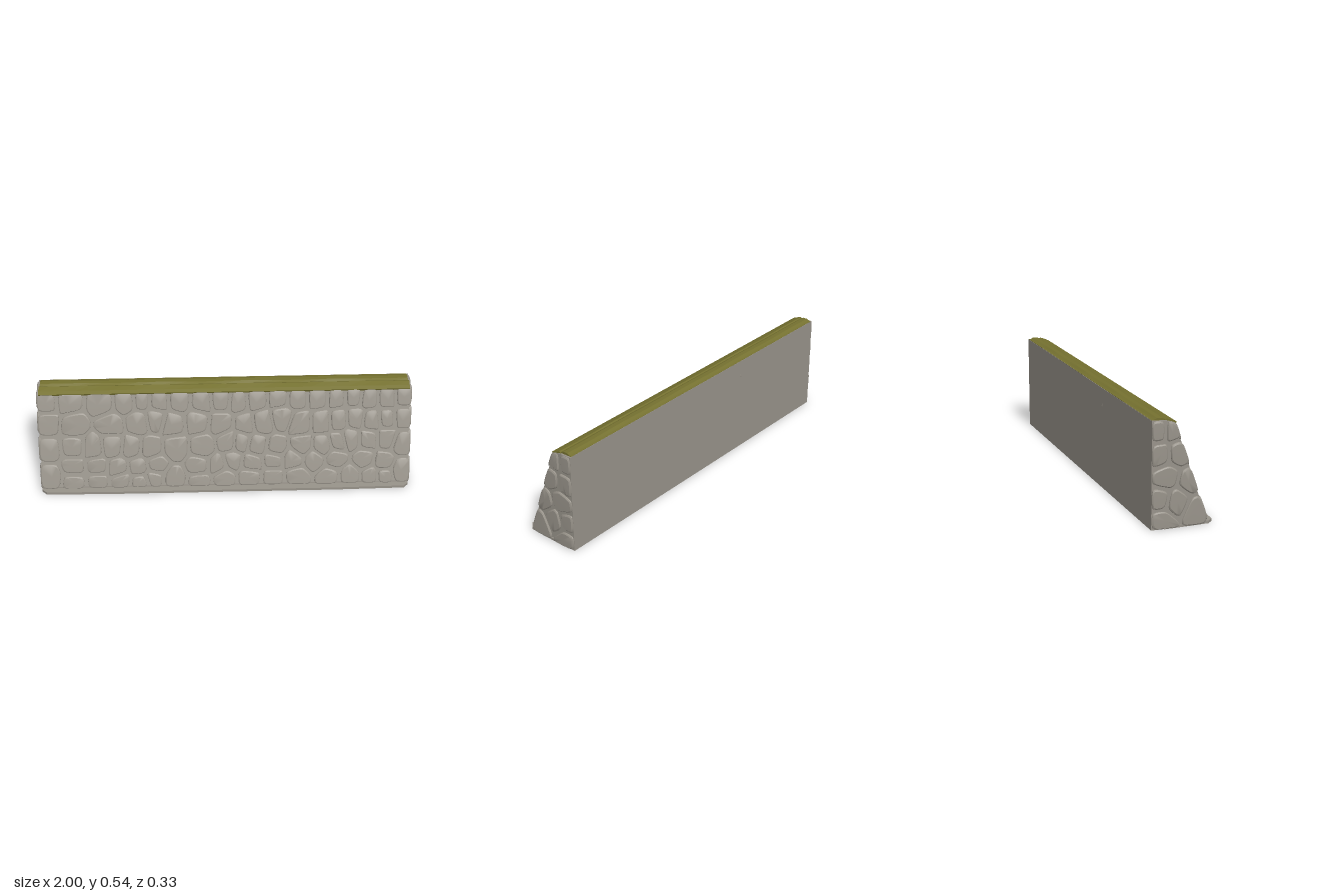
import * as THREE from 'three';
import { mergeGeometries, toCreasedNormals } from 'three/addons/utils/BufferGeometryUtils.js';

const stoneMat = new THREE.MeshStandardMaterial({ name: 'greyStone', color: 0x98938a });
const mossMat = new THREE.MeshStandardMaterial({ name: 'oliveMoss', color: 0x757130 });

let seed = 7;
const rand = () => (seed = (seed * 16807) % 2147483647) / 2147483647;
const jitter = (a) => (rand() - 0.5) * 2 * a;

// depth of the leaning front face at height y
const frontZ = (y) => 0.13 - 0.343 * (y - 0.02);

// keep the part of a polygon where n·p <= d
function clip(poly, nx, ny, d) {
  const out = [];
  poly.forEach((a, i) => {
    const b = poly[(i + 1) % poly.length];
    const da = a[0] * nx + a[1] * ny - d, db = b[0] * nx + b[1] * ny - d;
    if (da <= 0) out.push(a);
    if (da * db < 0) {
      const t = da / (da - db);
      out.push([a[0] + (b[0] - a[0]) * t, a[1] + (b[1] - a[1]) * t]);
    }
  });
  return out;
}

// the outline of the stone around one centre, with half a joint cut off each side
function cell(points, i, border, gap) {
  let poly = border;
  const p = points[i];
  points.forEach((q, j) => {
    if (j === i) return;
    const dx = q[0] - p[0], dy = q[1] - p[1], len = Math.hypot(dx, dy);
    const nx = dx / len, ny = dy / len;
    poly = clip(poly, nx, ny, nx * (p[0] + q[0]) / 2 + ny * (p[1] + q[1]) / 2 - gap);
  });
  return poly;
}

// cut the corners of an outline
const soften = (poly, k) => poly.flatMap((a, i) => {
  const b = poly[(i + 1) % poly.length];
  return [k, 1 - k].map((t) => [a[0] + (b[0] - a[0]) * t, a[1] + (b[1] - a[1]) * t]);
});

// one stone: stacked shrinking outlines closed by a slightly domed face
function stoneGeometry(outline, place, lift) {
  let poly = soften(soften(outline, 0.16), 0.25);
  const n = poly.length;
  let area = 0, cx = 0, cy = 0;
  poly.forEach((a, i) => {
    const b = poly[(i + 1) % n];
    area += a[0] * b[1] - b[0] * a[1];
    cx += a[0] / n;
    cy += a[1] / n;
  });
  if (area < 0) poly = poly.reverse();
  const r = Math.sqrt(Math.abs(area) / 2 / Math.PI);
  const pos = [], index = [];
  [[0, -0.016], [0.002, -0.005], [0.008, -0.001]].forEach(([inset, h]) => {
    const s = Math.max(0.4, 1 - inset / r);
    poly.forEach(([u, v]) => pos.push(...place(cx + (u - cx) * s, cy + (v - cy) * s, h + lift)));
  });
  pos.push(...place(cx, cy, lift));
  for (let i = 0; i < n; i++) {
    const j = (i + 1) % n;
    for (let k = 0; k < 2; k++) {
      const a = k * n + i, b = k * n + j;
      index.push(a, b, b + n, a, b + n, a + n);
    }
    index.push(2 * n + i, 2 * n + j, 3 * n);
  }
  const geo = new THREE.BufferGeometry();
  geo.setAttribute('position', new THREE.Float32BufferAttribute(pos, 3));
  geo.setIndex(index);
  return toCreasedNormals(geo, 0.45);
}

function stoneField(name, points, border, place, liftRange) {
  const stones = [];
  points.forEach((p, i) => {
    const outline = cell(points, i, border, 0.004 + rand() * 0.005);
    if (outline.length > 2) stones.push(stoneGeometry(outline, place, -rand() * liftRange));
  });
  const mesh = new THREE.Mesh(mergeGeometries(stones), stoneMat);
  mesh.name = name;
  return mesh;
}

// sweep a (z, y) profile along x
function sweep(name, profile, halfLength, material, steps = 1) {
  const shape = new THREE.Shape(profile.map(([z, y]) => new THREE.Vector2(-z, y)));
  const geo = new THREE.ExtrudeGeometry(shape, { depth: halfLength * 2, steps, bevelEnabled: false });
  geo.translate(0, 0, -halfLength).rotateY(Math.PI / 2);
  const mesh = new THREE.Mesh(geo, material);
  mesh.name = name;
  return mesh;
}

export function createModel() {
  const wall = new THREE.Group();
  wall.name = 'stoneWall';
  seed = 7;

  // mortar body behind the stones
  wall.add(sweep('mortarCore', [
    [0.122, 0], [0.12, 0.02], [-0.049, 0.513], [-0.09, 0.526], [-0.163, 0.529], [-0.163, 0],
  ], 0.989, stoneMat));

  // low footing with cut front corners
  const foot = new THREE.Shape([
    [-0.995, 0.1], [-0.99, -0.13], [-0.965, -0.157], [-0.6, -0.163], [0.6, -0.163],
    [0.965, -0.157], [0.99, -0.13], [0.995, 0.1],
  ].map(([x, y]) => new THREE.Vector2(x, y)));
  const footing = new THREE.Mesh(
    new THREE.ExtrudeGeometry(foot, { depth: 0.014, bevelEnabled: false }).rotateX(-Math.PI / 2), stoneMat);
  footing.name = 'footing';
  wall.add(footing);

  // stones of the front face, row by row: height, then centres along x
  const rows = [
    [0.47, 0.008, [-0.82, -0.65, -0.53, -0.44, -0.36, -0.25, -0.13, -0.02, 0.07, 0.16, 0.28, 0.39, 0.49, 0.59, 0.68, 0.77, 0.86]],
    [0.355, 0.022, [-0.8, -0.61, -0.47, -0.38, -0.27, -0.15, -0.02, 0.1, 0.2, 0.3, 0.4, 0.52, 0.61, 0.7, 0.78, 0.86]],
    [0.23, 0.025, [-0.82, -0.71, -0.61, -0.51, -0.41, -0.27, -0.12, 0.01, 0.09, 0.18, 0.28, 0.4, 0.52, 0.61, 0.68, 0.76, 0.86]],
    [0.13, 0.02, [-0.82, -0.68, -0.57, -0.47, -0.38, -0.15, -0.05, 0.04, 0.15, 0.27, 0.36, 0.49, 0.6, 0.75, 0.86]],
    [0.05, 0.012, [-0.81, -0.68, -0.57, -0.46, -0.38, -0.27, -0.15, -0.02, 0.12, 0.25, 0.39, 0.55, 0.68, 0.78, 0.86]],
  ];
  const points = rows.flatMap(([y, dy, xs]) => xs.map((x) => [x + jitter(0.012), y + jitter(dy)]));
  for (const x of [-0.95, 0.95]) for (const y of [0.47, 0.36, 0.225, 0.075]) points.push([x, y]);
  wall.add(stoneField('frontStones', points,
    [[-0.997, 0.012], [0.997, 0.012], [0.997, 0.517], [-0.997, 0.517]],
    (u, v, h) => [u, v, frontZ(v) + h], 0.003));

  // stones of both ends, as (z, y)
  const endPoints = [
    [-0.055, 0.48], [-0.135, 0.48], [-0.025, 0.37], [-0.13, 0.365], [0.035, 0.22], [-0.095, 0.25],
    [0.07, 0.08], [-0.035, 0.13], [-0.125, 0.15], [-0.12, 0.035],
  ];
  const endBorder = [[0.13, 0], [-0.163, 0], [-0.163, 0.529], [-0.09, 0.526], [-0.044, 0.513]];
  for (const side of [1, -1]) {
    const turn = (list) => list.map(([z, y]) => [-side * z, y]);
    wall.add(stoneField(side > 0 ? 'leftEndStones' : 'rightEndStones', turn(endPoints), turn(endBorder),
      (u, v, h) => [side * (1 + h), v, -side * u], 0.002));
  }

  // two moss ridges on the sloping top
  const moss = new THREE.Group();
  moss.name = 'mossTop';
  moss.add(sweep('frontMoss', [[-0.044, 0.505], [-0.04, 0.515], [-0.06, 0.524], [-0.088, 0.535], [-0.098, 0.53], [-0.098, 0.505]],
    0.985, mossMat, 30));
  moss.add(sweep('backMoss', [[-0.096, 0.505], [-0.096, 0.531], [-0.11, 0.539], [-0.135, 0.54], [-0.15, 0.532], [-0.161, 0.53], [-0.161, 0.505]],
    0.98, mossMat, 30));
  // gentle unevenness along the ridges
  for (const ridge of moss.children) {
    const p = ridge.geometry.attributes.position;
    for (let i = 0; i < p.count; i++) {
      if (p.getY(i) > 0.533) p.setY(i, p.getY(i) + 0.0015 * Math.sin(p.getX(i) * 13) - 0.001);
    }
    ridge.geometry.computeVertexNormals();
  }
  wall.add(moss);

  // small chip standing out of the plain back
  const chip = new THREE.Mesh(new THREE.ConeGeometry(0.014, 0.004, 3).rotateX(-Math.PI / 2), stoneMat);
  chip.name = 'backChip';
  chip.position.set(-0.32, 0.44, -0.164);
  wall.add(chip);

  return wall;
}
